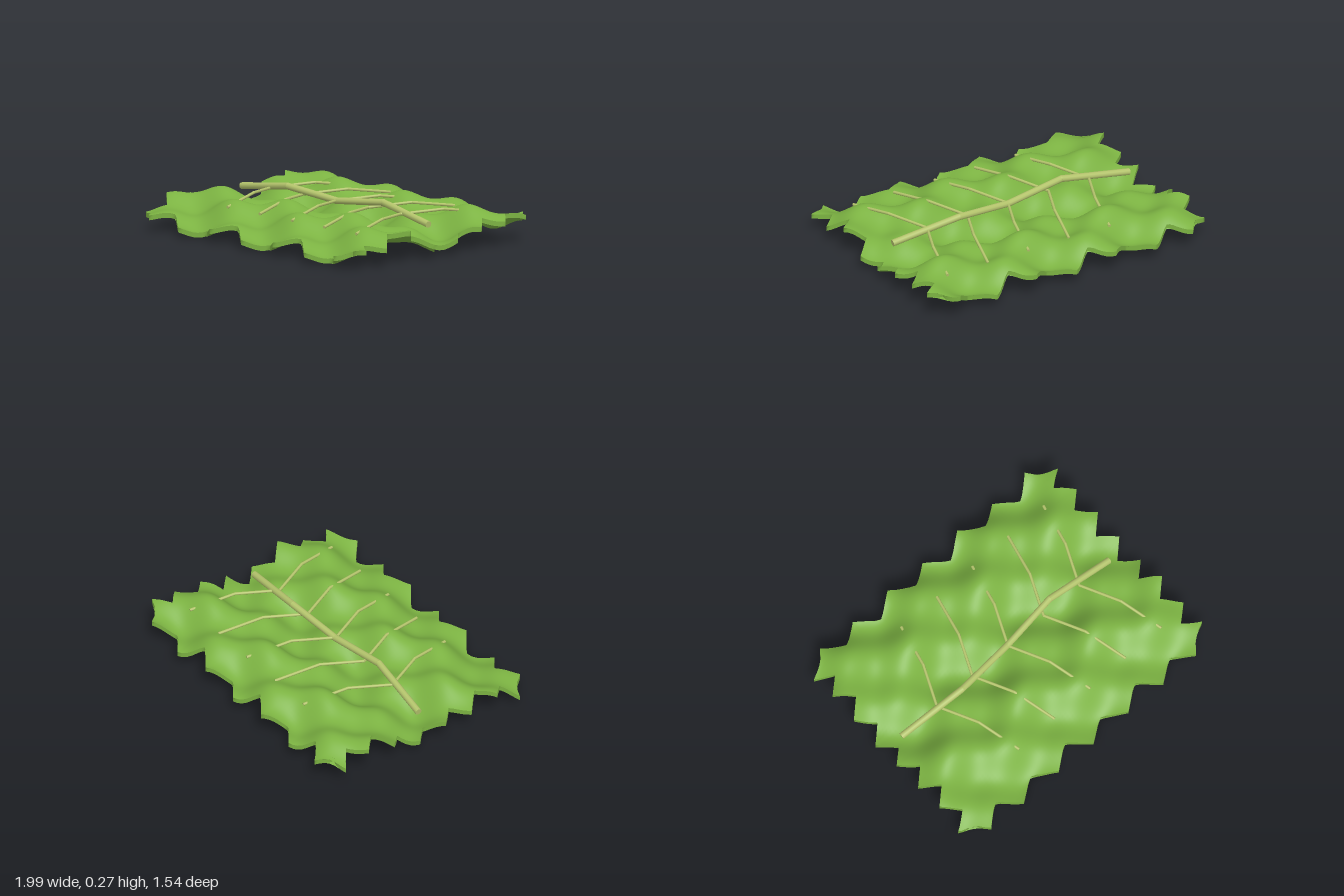
import * as THREE from 'three';

const leafGreen = new THREE.MeshStandardMaterial({ color: 0x7cb342 });
leafGreen.name = 'leaf green';
const veinGreen = new THREE.MeshStandardMaterial({ color: 0xb4c46c });
veinGreen.name = 'pale vein green';

const THICKNESS = 0.03;
const HALF_X = 0.995, HALF_Z = 0.77, TOOTH = 0.105;

// Notch depth from 0 (tooth tip, whole numbers) to 1 (valley)
const notch = (t) => 1 - Math.abs(2 * (t - Math.floor(t)) - 1);

// Height of the rippled blade: folds along x, made sinuous by crossing waves
function bladeHeight(x, z) {
  const s = z / HALF_Z, k = 10.7;
  const calmX = 1 - 0.35 * Math.pow(Math.abs(x), 8);
  const calmZ = 1 - 0.2 * Math.pow(s, 4) - 0.25 * Math.pow(s, 5);
  const folds = -0.055 * Math.cos(8.3 * (z + 0.045));
  const sinuous = 0.054 * Math.sin(k * x) * Math.cos(14.3 * (z - 0.04));
  const slanting = 0.025 * Math.cos(k * x) * Math.cos(4.5 * z);
  const rim = 0.018 * Math.pow(s, 4) - 0.026 * Math.pow(s, 5);
  return 0.124 + calmX * (folds + calmZ * (sinuous + slanting)) + rim;
}

// Blade: a thin slab with toothed edges, bent into waves
function makeBlade() {
  const geometry = new THREE.BoxGeometry(2, THICKNESS, 2, 84, 1, 80);
  const p = geometry.attributes.position;
  for (let i = 0; i < p.count; i++) {
    const u = p.getX(i), v = p.getZ(i);
    const edgeU = Math.pow(Math.abs(u), 10), edgeV = Math.pow(Math.abs(v), 10);
    const x = u * (HALF_X - TOOTH * edgeU * notch(4 * v + 0.5));
    const z = v * (HALF_Z - TOOTH * edgeV * notch(3.5 * u));
    p.setXYZ(i, x, p.getY(i) + bladeHeight(x, z), z);
  }
  geometry.computeVertexNormals();
  geometry.computeBoundingBox();
  geometry.translate(0, -geometry.boundingBox.min.y, 0);
  const blade = new THREE.Mesh(geometry, leafGreen);
  blade.name = 'leafBlade';
  return blade;
}

// Vein: straight round rods joining a list of points
function makeVein(name, points, radius) {
  const vein = new THREE.Group();
  vein.name = name;
  const up = new THREE.Vector3(0, 1, 0);
  const v = points.map((q) => new THREE.Vector3(...q));
  for (let i = 0; i < v.length - 1; i++) {
    const dir = v[i + 1].clone().sub(v[i]);
    const rod = new THREE.Mesh(new THREE.CylinderGeometry(radius, radius, dir.length(), 10), veinGreen);
    rod.position.copy(v[i]).addScaledVector(dir, 0.5);
    rod.quaternion.setFromUnitVectors(up, dir.normalize());
    rod.name = name + 'Segment';
    vein.add(rod);
    if (i > 0) {
      const joint = new THREE.Mesh(new THREE.SphereGeometry(radius, 10, 8), veinGreen);
      joint.position.copy(v[i]);
      joint.name = name + 'Joint';
      vein.add(joint);
    }
  }
  return vein;
}

export function createModel() {
  const leaf = new THREE.Group();
  leaf.name = 'leaf';
  leaf.add(makeBlade());

  // Midrib
  leaf.add(makeVein('midrib', [
    [-0.86, 0.18, -0.01], [-0.4, 0.247, 0.03], [0, 0.21, -0.005],
    [0.38, 0.247, -0.045], [0.83, 0.18, -0.005],
  ], 0.021));

  // Side veins in mirrored pairs
  for (const x of [-0.58, -0.29, 0, 0.29, 0.58]) {
    for (const side of [-1, 1]) {
      leaf.add(makeVein('sideVein', [
        [x, 0.21, 0], [x + 0.115, 0.226, side * 0.25], [x + 0.19, 0.182, side * 0.53],
      ], 0.009));
    }
  }
  return leaf;
}
